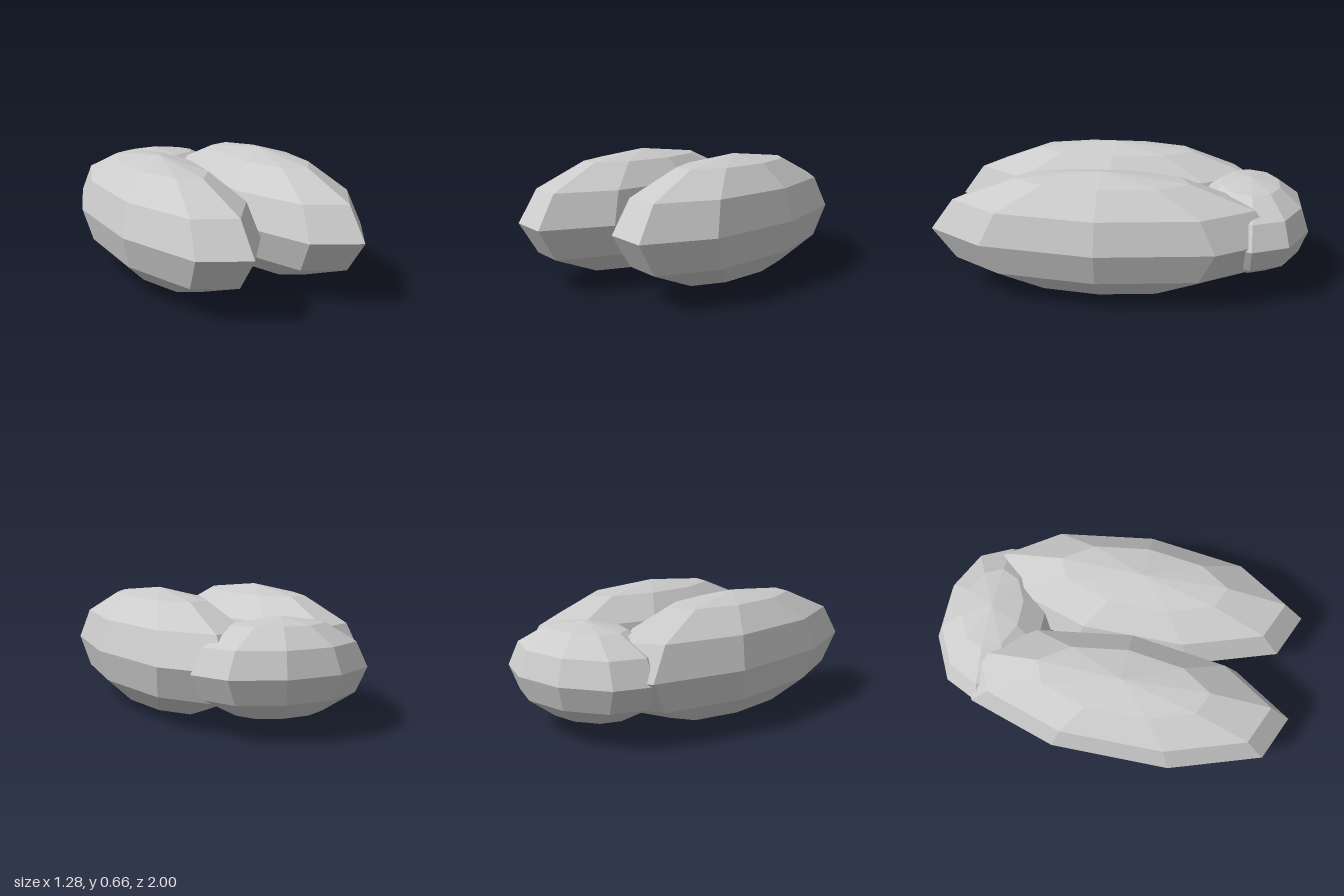
import * as THREE from 'three';

const material = new THREE.MeshStandardMaterial({ color: 0xcccccc, flatShading: true });

// Faceted ellipsoid with vertical poles and one equator corner on +x
function ellipsoid(name, sides, radii, position) {
  const geometry = new THREE.SphereGeometry(1, sides, 6, Math.PI);
  geometry.scale(...radii);
  const mesh = new THREE.Mesh(geometry, material);
  mesh.name = name;
  mesh.position.set(...position);
  return mesh;
}

export function createModel() {
  const model = new THREE.Group();
  model.name = 'threeLobedBody';

  // Two long lobes side by side, both with the same corner direction
  const longRadii = [0.355, 0.33, 0.925];
  model.add(ellipsoid('leftLobe', 9, longRadii, [0.286, 0.33, 0.085]));
  model.add(ellipsoid('rightLobe', 9, longRadii, [-0.31, 0.33, 0.085]));

  // Small rounded lobe joining them at the back
  model.add(ellipsoid('rearLobe', 10, [0.475, 0.25, 0.326], [-0.01, 0.315, -0.69]));

  return model;
}
